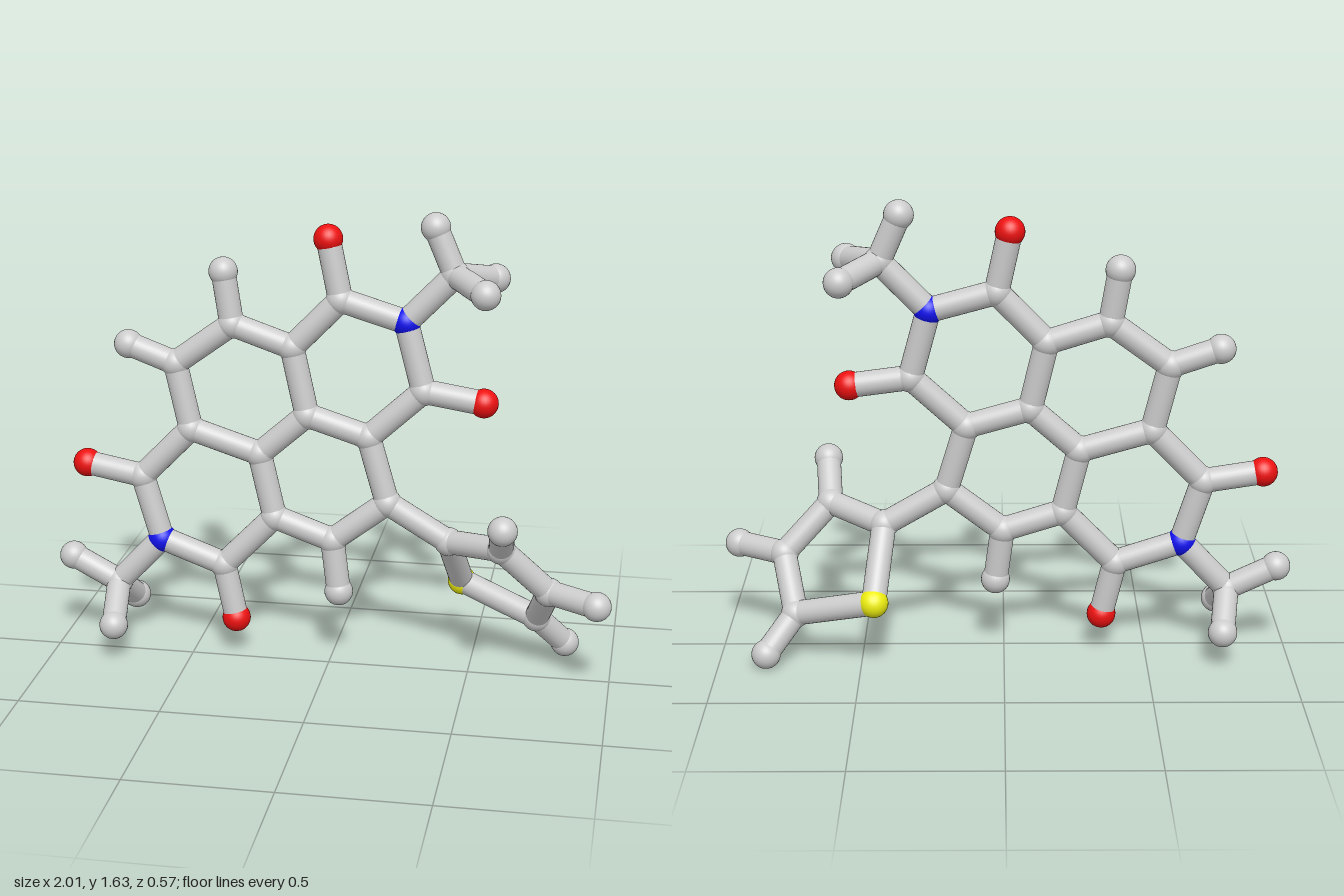
import * as THREE from 'three';

const ATOM_R = 0.051, BOND_R = 0.043;
const COLORS = { C: 0xcccccc, H: 0xcccccc, O: 0xee1111, N: 0x1111ee, S: 0xeeee11 };
const NAMES = { C: 'carbonAtom', H: 'hydrogenAtom', O: 'oxygenAtom', N: 'nitrogenAtom', S: 'sulfurAtom' };

// The fused rings lie in one slightly tilted plane
const planeZ = (x, y) => -0.022 + 0.03 * x - 0.054 * y;

// Atom positions: x, y and, for those out of the plane, z. First letter = element.
const ATOMS = {
  // upper left ring
  C1: [-0.36, 1.215], C2: [-0.565, 1.065], C3: [-0.51, 0.83],
  C4: [-0.26, 0.755], C5: [-0.09, 0.905], C6: [-0.145, 1.145],
  H1: [-0.39, 1.4], H2: [-0.735, 1.125],
  // upper right ring
  C7: [0.025, 1.32], N8: [0.255, 1.255], C9: [0.32, 1.015], C10: [0.13, 0.84],
  O7: [-0.02, 1.53], O9: [0.53, 0.985],
  // lower ring
  C12: [0.2, 0.605], C13: [0.005, 0.455], C14: [-0.205, 0.525], H13: [0.03, 0.265],
  // lower left ring
  C15: [-0.39, 0.335], N16: [-0.62, 0.415], C17: [-0.69, 0.645],
  O15: [-0.345, 0.135], O17: [-0.895, 0.68],
  // methyl groups
  C11: [0.42, 1.425], H11a: [0.35, 1.585], H11b: [0.54, 1.4, 0.075], H11c: [0.545, 1.385, -0.23],
  C18: [-0.785, 0.24], H18a: [-0.955, 0.325], H18b: [-0.765, 0.135, 0.105], H18c: [-0.76, 0.13, -0.205],
  // five-sided side ring
  C19: [0.42, 0.475, -0.045], S1: [0.45, 0.255, -0.235], C20: [0.615, 0.51, 0.09],
  C21: [0.78, 0.34, 0.03], C22: [0.73, 0.175, -0.13],
  H20: [0.63, 0.63, 0.23], H21: [0.95, 0.34, 0.133], H22: [0.83, 0.053, -0.207],
};

// Each chain joins its atoms one after another
const CHAINS = [
  'C1 C2 C3 C4 C5 C6 C1', 'C6 C7 N8 C9 C10 C5', 'C10 C12 C13 C14 C4',
  'C14 C15 N16 C17 C3', 'C19 C20 C21 C22 S1 C19', 'C12 C19',
  'C1 H1', 'C2 H2', 'C7 O7', 'C9 O9', 'C13 H13', 'C15 O15', 'C17 O17',
  'N8 C11 H11a', 'H11b C11 H11c', 'N16 C18 H18a', 'H18b C18 H18c',
  'C20 H20', 'C21 H21', 'C22 H22',
];

export function createModel() {
  const model = new THREE.Group();
  model.name = 'molecule';
  const materials = {};
  for (const k in COLORS) materials[k] = new THREE.MeshStandardMaterial({ color: COLORS[k] });

  // Balls
  const ball = new THREE.SphereGeometry(ATOM_R, 28, 18);
  const points = {};
  for (const [key, [x, y, z = planeZ(x, y)]] of Object.entries(ATOMS)) {
    points[key] = new THREE.Vector3(x, y, z);
    const atom = new THREE.Mesh(ball, materials[key[0]]);
    atom.name = NAMES[key[0]];
    atom.position.copy(points[key]);
    model.add(atom);
  }

  // Sticks
  const stick = new THREE.CylinderGeometry(BOND_R, BOND_R, 1, 28, 1, true);
  const up = new THREE.Vector3(0, 1, 0);
  for (const chain of CHAINS) {
    const keys = chain.split(' ');
    for (let i = 1; i < keys.length; i++) {
      const a = points[keys[i - 1]], b = points[keys[i]];
      const dir = b.clone().sub(a);
      const bond = new THREE.Mesh(stick, materials.C);
      bond.name = 'bond';
      bond.scale.y = dir.length();
      bond.position.copy(a).add(b).multiplyScalar(0.5);
      bond.quaternion.setFromUnitVectors(up, dir.normalize());
      model.add(bond);
    }
  }
  return model;
}
